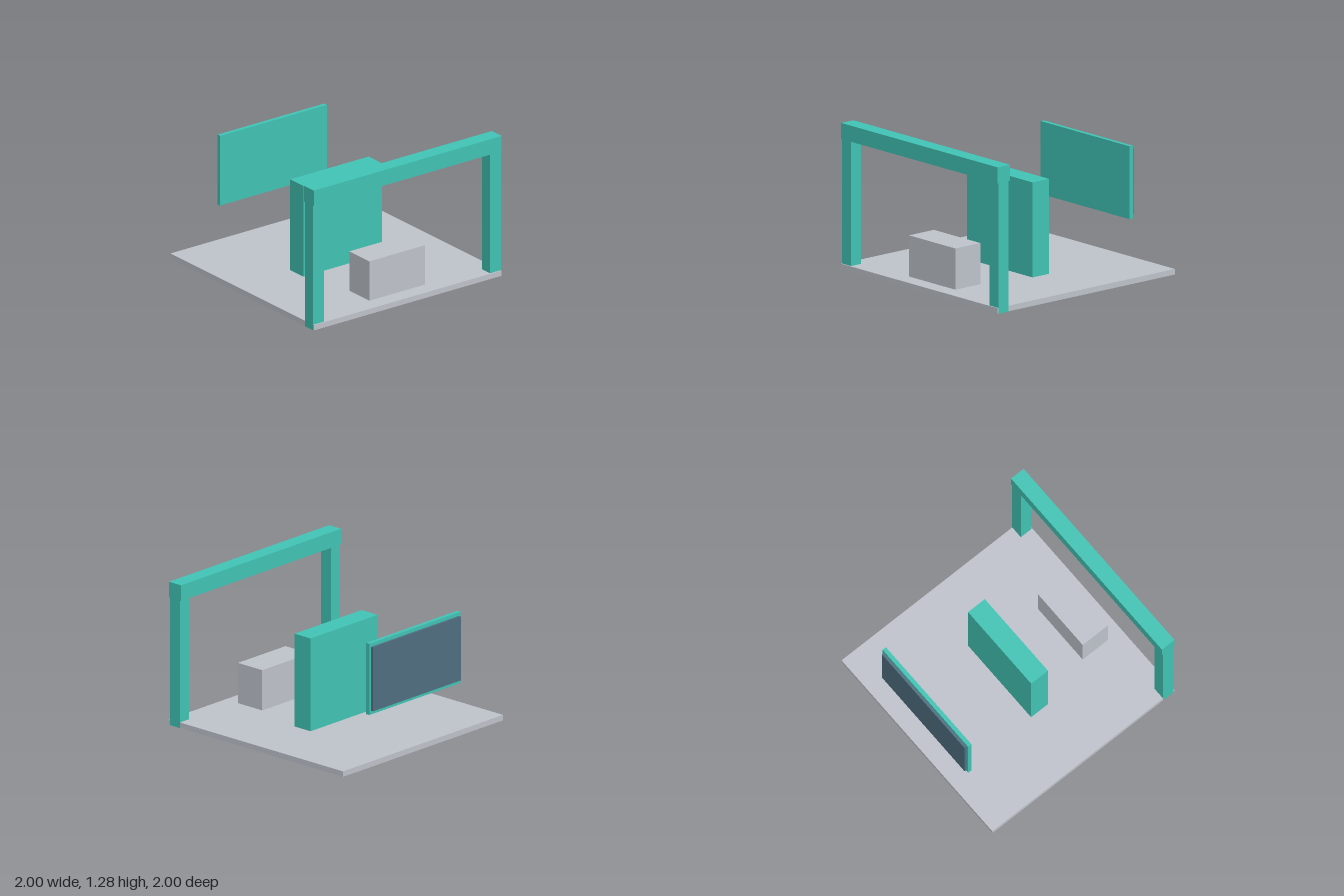
import * as THREE from 'three';

function material(name, color) {
  const m = new THREE.MeshStandardMaterial({ color });
  m.name = name;
  return m;
}

export function createModel() {
  const teal = material('teal', 0x40c2b3);
  const grey = material('pale grey', 0xbdc1c9);
  const slate = material('slate blue', 0x4f6d80);

  const model = new THREE.Group();
  model.name = 'stageSet';

  // Box given by its [min, max] extent on each axis
  function box(name, mat, [x0, x1], [y0, y1], [z0, z1]) {
    const mesh = new THREE.Mesh(new THREE.BoxGeometry(x1 - x0, y1 - y0, z1 - z0), mat);
    mesh.position.set((x0 + x1) / 2, (y0 + y1) / 2, (z0 + z1) / 2);
    mesh.name = name;
    model.add(mesh);
  }

  // Floor slab, a hair inside the posts so coplanar faces do not clash
  box('floor', grey, [-0.999, 0.999], [0.001, 0.05], [-1, 1]);

  // Front gateway: two posts and a beam
  box('rightPost', teal, [-1, -0.885], [0, 1.14], [0.875, 0.99]);
  box('leftPost', teal, [0.885, 1], [0, 1.14], [0.875, 0.99]);
  box('beam', teal, [-1, 1], [1.14, 1.28], [0.862, 1]);

  // Low block behind the gateway
  box('lowBlock', grey, [-0.297, 0.297], [0.04, 0.41], [0.575, 0.855]);

  // Tall central block
  box('centreBlock', teal, [-0.418, 0.418], [0.01, 0.88], [-0.092, 0.092]);

  // Floating screen: frame panel with a dark display on its back
  box('screenFrame', teal, [-0.568, 0.568], [0.423, 1.06], [-0.907, -0.87]);
  box('screenDisplay', slate, [-0.548, 0.548], [0.456, 1.028], [-0.93, -0.907]);

  return model;
}
